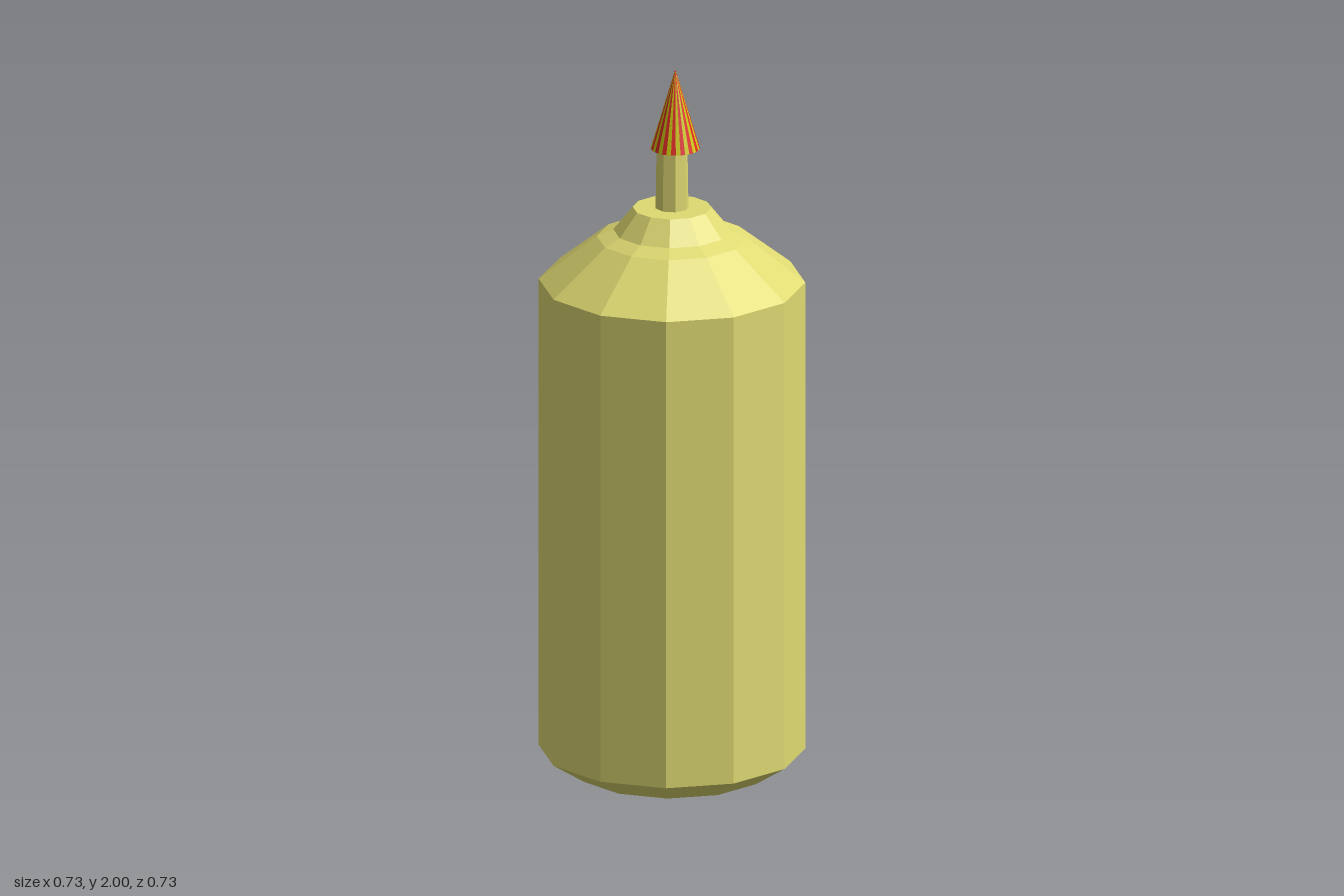
import * as THREE from 'three';

const wax = new THREE.MeshStandardMaterial({ color: 0xdfda72 });
const red = new THREE.MeshStandardMaterial({ color: 0xe02c24 });
const yellow = new THREE.MeshStandardMaterial({ color: 0xcfca10 });
wax.name = 'pale yellow';
red.name = 'red';
yellow.name = 'bright yellow';

// Split the faces so that each one is shaded flat
function faceted(geometry) {
  const flat = geometry.toNonIndexed();
  flat.computeVertexNormals();
  return flat;
}

function addPart(group, name, geometry, material) {
  const mesh = new THREE.Mesh(geometry, material);
  mesh.name = name;
  group.add(mesh);
  return mesh;
}

export function createModel() {
  const model = new THREE.Group();
  model.name = 'bottle';

  // Twelve-sided body with a bevelled base, stepped shoulder and collar
  const profile = [
    [0, 0], [0.27, 0], [0.363, 0.06], [0.363, 1.395],
    [0.205, 1.52], [0.16, 1.54], [0.107, 1.605], [0, 1.605],
  ].map(([r, y]) => new THREE.Vector2(r, y));
  addPart(model, 'body', faceted(new THREE.LatheGeometry(profile, 12)), wax);

  // Slim neck
  const neck = new THREE.CylinderGeometry(0.043, 0.046, 0.19, 8);
  addPart(model, 'neck', faceted(neck), wax).position.set(0, 1.69, 0);

  // Pointed tip with alternating stripes, one per side, slightly off centre
  const sides = 32;
  const tip = faceted(new THREE.ConeGeometry(0.067, 0.225, sides));
  tip.clearGroups();
  for (let i = 0; i < sides * 2; i++) tip.addGroup(i * 3, 3, i % 2);
  addPart(model, 'stripedTip', tip, [red, yellow]).position.set(0.008, 1.8875, -0.004);

  return model;
}
